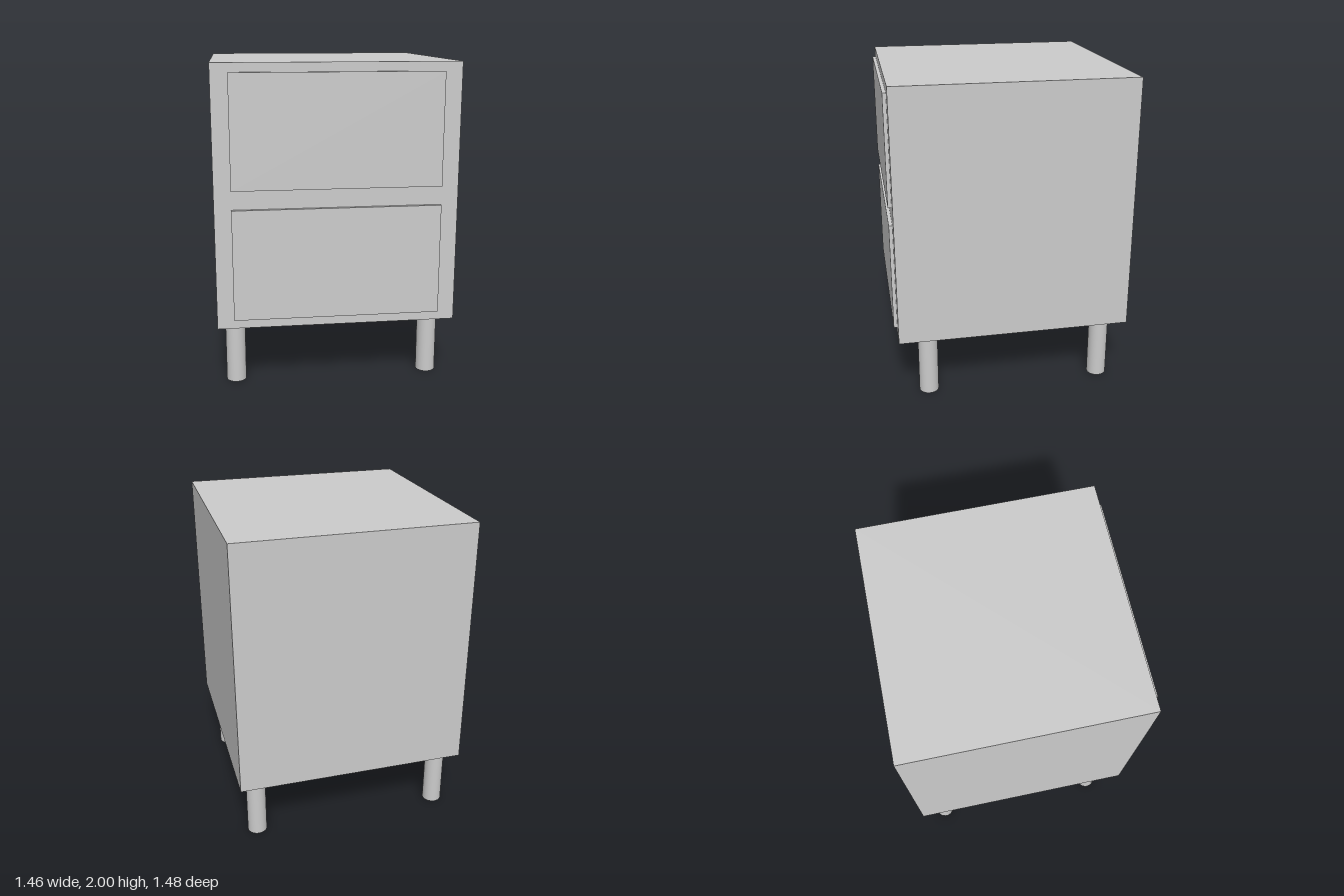
import * as THREE from 'three';

export function createModel() {
  const model = new THREE.Group();
  model.name = 'nightstand';
  const material = new THREE.MeshStandardMaterial({ color: 0xcccccc });

  const add = (name, geometry, x, y, z) => {
    const mesh = new THREE.Mesh(geometry, material);
    mesh.name = name;
    mesh.position.set(x, y, z);
    model.add(mesh);
  };

  // Cabinet body
  const bottom = 0.412, top = 2, back = -0.742, front = 0.72;
  add('cabinet', new THREE.BoxGeometry(1.462, top - bottom, front - back),
    0, (top + bottom) / 2, (front + back) / 2);

  // Two drawer fronts standing slightly proud of the cabinet
  const drawer = new THREE.BoxGeometry(1.256, 0.68, 0.022);
  add('upperDrawer', drawer, -0.002, 1.605, front + 0.011);
  add('lowerDrawer', drawer, -0.002, 0.81, front + 0.011);

  // Four round legs
  const leg = new THREE.CylinderGeometry(0.062, 0.062, bottom, 32);
  for (const [side, x] of [['Right', -0.624], ['Left', 0.611]]) {
    add('front' + side + 'Leg', leg, x, bottom / 2, 0.533);
    add('back' + side + 'Leg', leg, x, bottom / 2, -0.593);
  }

  return model;
}
